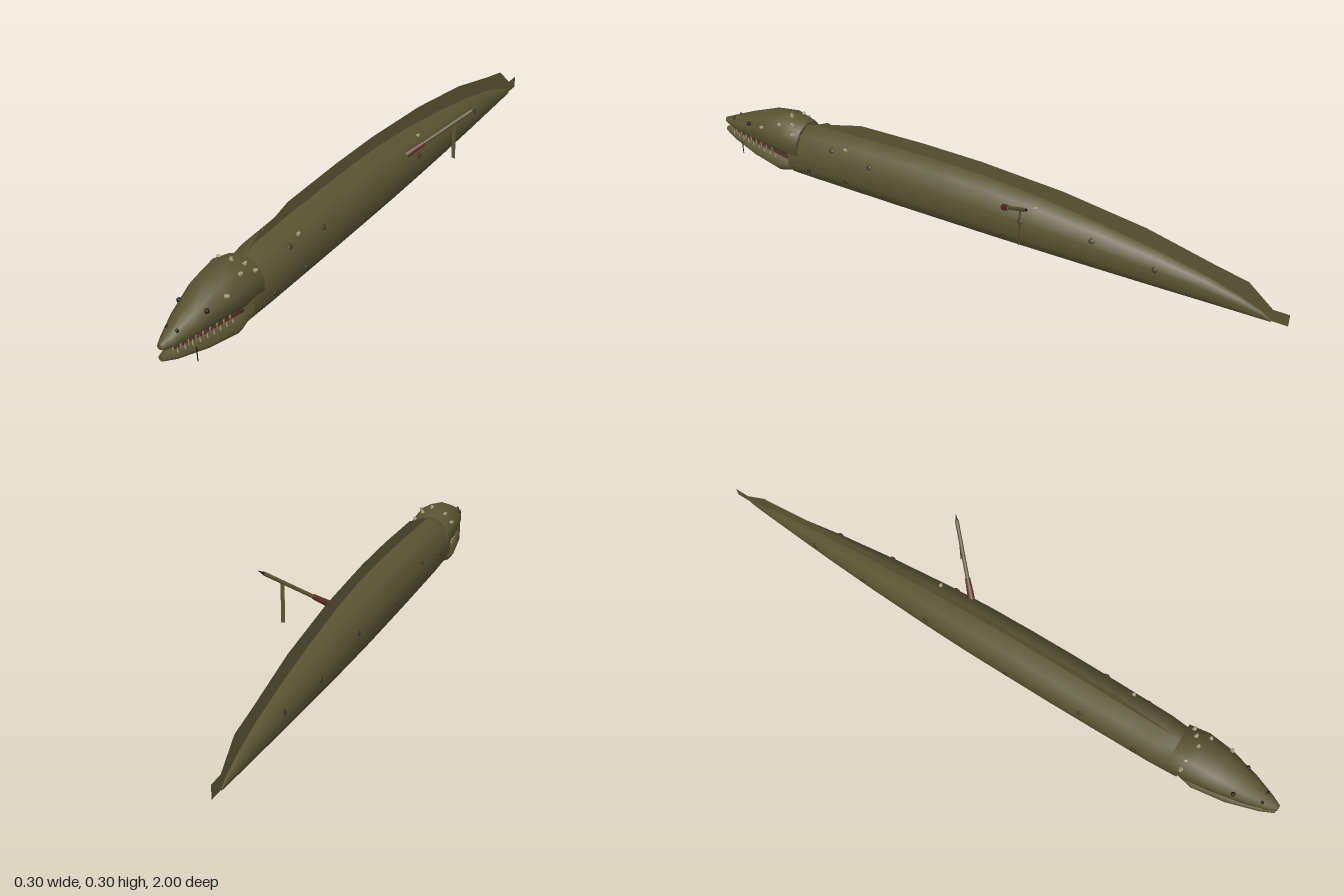
import * as THREE from 'three';

const mat = (name, color, side = THREE.FrontSide) => {
  const m = new THREE.MeshStandardMaterial({ color, side });
  m.name = name;
  return m;
};

// Closed tube along z; each ring is [z, centreY, radiusX, radiusY], ordered front to back
function loft(rings, sides) {
  const pos = [], idx = [], n = sides;
  const addRing = ([z, c, rx, ry]) => {
    for (let j = 0; j < n; j++) {
      const t = (j / n) * Math.PI * 2;
      pos.push(rx * Math.sin(t), c + ry * Math.cos(t), z);
    }
  };
  rings.forEach(addRing);
  for (let i = 0; i < rings.length - 1; i++) {
    for (let j = 0; j < n; j++) {
      const a = i * n + j, b = i * n + (j + 1) % n;
      idx.push(a, b, a + n, b, b + n, a + n);
    }
  }
  // Flat end caps with their own vertices
  [rings[0], rings[rings.length - 1]].forEach((ring, end) => {
    const base = pos.length / 3;
    addRing(ring);
    pos.push(0, ring[1], ring[0]);
    for (let j = 0; j < n; j++) {
      const a = base + j, b = base + (j + 1) % n;
      if (end) idx.push(base + n, a, b);
      else idx.push(base + n, b, a);
    }
  });
  const g = new THREE.BufferGeometry();
  g.setAttribute('position', new THREE.Float32BufferAttribute(pos, 3));
  g.setIndex(idx);
  g.computeVertexNormals();
  return g;
}

// Point on a lofted surface at depth z and angle t measured from the top
function surfacePoint(rings, z, t) {
  let i = 0;
  while (i < rings.length - 2 && rings[i + 1][0] > z) i++;
  const a = rings[i], b = rings[i + 1];
  const k = (z - a[0]) / (b[0] - a[0]);
  const [, c, rx, ry] = a.map((v, q) => v + (b[q] - v) * k);
  return new THREE.Vector3(rx * Math.sin(t), c + ry * Math.cos(t), z);
}

const bodyRings = [
  [0.70, 0.069, 0.09], [0.60, 0.076, 0.1], [0.42, 0.078, 0.103], [0.25, 0.079, 0.104],
  [0.10, 0.078, 0.104], [-0.05, 0.076, 0.101], [-0.20, 0.07, 0.094], [-0.40, 0.058, 0.08],
  [-0.60, 0.042, 0.062], [-0.75, 0.027, 0.045], [-0.85, 0.016, 0.029], [-0.92, 0.007, 0.014],
  [-0.95, 0.001, 0.003],
].map(([z, rx, ry]) => [z, ry + 0.004, rx, ry]);

const skullRings = [
  [1.0, 0.117, 0.009, 0.009], [0.97, 0.118, 0.024, 0.021], [0.90, 0.13, 0.047, 0.041],
  [0.80, 0.144, 0.07, 0.067], [0.72, 0.145, 0.079, 0.077], [0.655, 0.132, 0.074, 0.07],
];

const jawRings = [
  [1.0, 0.081, 0.009, 0.009], [0.96, 0.073, 0.026, 0.018], [0.86, 0.056, 0.053, 0.028],
  [0.75, 0.038, 0.064, 0.034], [0.69, 0.042, 0.05, 0.025],
];

export function createModel() {
  const model = new THREE.Group();
  model.name = 'eel';
  const skin = mat('olive skin', 0x5b5433);
  const finMat = mat('olive fin', 0x5b5433, THREE.DoubleSide);
  const dark = mat('dark eye', 0x1c1810);
  const bone = mat('pale bone', 0xa89e7c);
  const flesh = mat('dark red flesh', 0x5a3026);
  const sore = mat('brown spot', 0x443a26);

  const eel = new THREE.Group();
  eel.name = 'eelBody';
  eel.position.x = -0.072;
  model.add(eel);
  const add = (parent, name, geo, m) => {
    const mesh = new THREE.Mesh(geo, m);
    mesh.name = name;
    parent.add(mesh);
    return mesh;
  };

  add(eel, 'body', loft(bodyRings, 10), skin);
  add(eel, 'skull', loft(skullRings, 10), skin);
  add(eel, 'lowerJaw', loft(jawRings, 8), skin);

  // Fleshy mouth lining between skull and jaw
  add(eel, 'mouthLining', loft([
    [0.96, 0.097, 0.014, 0.012], [0.86, 0.087, 0.036, 0.016], [0.72, 0.072, 0.05, 0.02],
  ], 8), flesh);

  // Thin fin along the back, running past the tail
  const top = [[0.65, 0.19], [0.57, 0.227], [0.56, 0.222], [0.44, 0.253], [0.2, 0.258], [0, 0.255],
    [-0.28, 0.236], [-0.55, 0.197], [-0.77, 0.142], [-0.87, 0.12], [-0.95, 0.05], [-1, 0.05],
    [-1, 0.008], [-0.9, 0.008], [-0.6, 0.09], [-0.2, 0.15], [0.6, 0.15]];
  const fin = new THREE.ShapeGeometry(new THREE.Shape(top.map(p => new THREE.Vector2(...p))));
  add(eel, 'backFin', fin.rotateY(-Math.PI / 2), finMat);

  // Teeth in both jaws, mirrored
  const tooth = new THREE.ConeGeometry(0.0035, 0.022, 5);
  for (const s of [1, -1]) {
    for (let i = 0; i < 9; i++) {
      const z = 0.97 - i * 0.024;
      const up = surfacePoint(skullRings, z, s * 2.45);
      const upper = add(eel, 'upperTooth', tooth, bone);
      upper.position.set(up.x, up.y - 0.006, z);
      upper.rotation.x = Math.PI;
      const low = surfacePoint(jawRings, z - 0.012, s * 0.8);
      add(eel, 'lowerTooth', tooth, bone).position.set(low.x, low.y + 0.005, z - 0.012);
    }
    // Eyes and nostrils
    const eye = add(eel, 'eye', new THREE.SphereGeometry(0.007, 10, 8), dark);
    eye.position.copy(surfacePoint(skullRings, 0.865, s * 1.0));
    const nostril = add(eel, 'nostril', new THREE.SphereGeometry(0.005, 8, 6), dark);
    nostril.position.copy(surfacePoint(skullRings, 0.95, s * 0.6));
    nostril.scale.set(0.8, 1.2, 1);
    nostril.rotation.z = s * 0.5;
  }

  // Small hook hanging at the left of the jaw
  add(eel, 'hook', new THREE.CylinderGeometry(0.0015, 0.0015, 0.045, 5), dark).position.set(0.04, 0.05, 0.91);

  // Barnacles on the crown
  const barnacle = new THREE.CylinderGeometry(0.004, 0.008, 0.013, 6);
  const outward = (mesh, rings, z, t) => {
    mesh.position.copy(surfacePoint(rings, z, t));
    mesh.rotation.z = -t;
  };
  [[0.7, -0.6], [0.71, 0.1], [0.69, 0.5], [0.675, 0.9], [0.73, 0.75], [0.8, 1.1], [0.7, -1.1]]
    .forEach(([z, t]) => outward(add(eel, 'barnacle', barnacle, bone), skullRings, z, t));

  // Round spots along both flanks
  const spot = new THREE.SphereGeometry(0.0095, 8, 6).scale(1, 0.4, 1);
  [[0.61, 1.9], [0.465, 1.9], [0.52, 0.9], [0.37, 1.1], [-0.17, 1.25], [-0.4, 1.0], [-0.6, 1.2],
    [0.55, -1.5], [0.36, -1.2], [0.1, -1.6], [-0.2, -1.3], [-0.45, -1.5], [-0.65, -1.2]]
    .forEach(([z, t]) => outward(add(eel, 'flankSpot', spot, sore), bodyRings, z, t));
  [[0.47, 0.75], [-0.21, 0.6]]
    .forEach(([z, t]) => outward(add(eel, 'backBarnacle', barnacle, bone), bodyRings, z, t));

  // Harpoon stuck in the left flank
  const harpoon = new THREE.Group();
  harpoon.name = 'harpoon';
  const start = new THREE.Vector3(-0.015, 0.157, -0.11), end = new THREE.Vector3(0.147, 0.3, -0.268);
  const dir = end.clone().sub(start);
  const length = dir.length();
  harpoon.position.copy(start);
  harpoon.quaternion.setFromUnitVectors(new THREE.Vector3(0, 1, 0), dir.normalize());
  const section = (name, r0, r1, from, to, m) =>
    add(harpoon, name, new THREE.CylinderGeometry(r1, r0, (to - from) * length, 8), m)
      .position.set(0, (from + to) / 2 * length, 0);
  section('bloodyBase', 0.011, 0.008, 0, 0.25, flesh);
  section('shaft', 0.006, 0.006, 0.2, 0.93, skin);
  section('shaftPoint', 0.005, 0.0005, 0.92, 1, dark);
  model.add(harpoon);

  // Thin strip hanging from the shaft
  add(model, 'hangingStrip', new THREE.PlaneGeometry(0.013, 0.13), finMat).position.set(0.094, 0.19, -0.218);
  return model;
}
